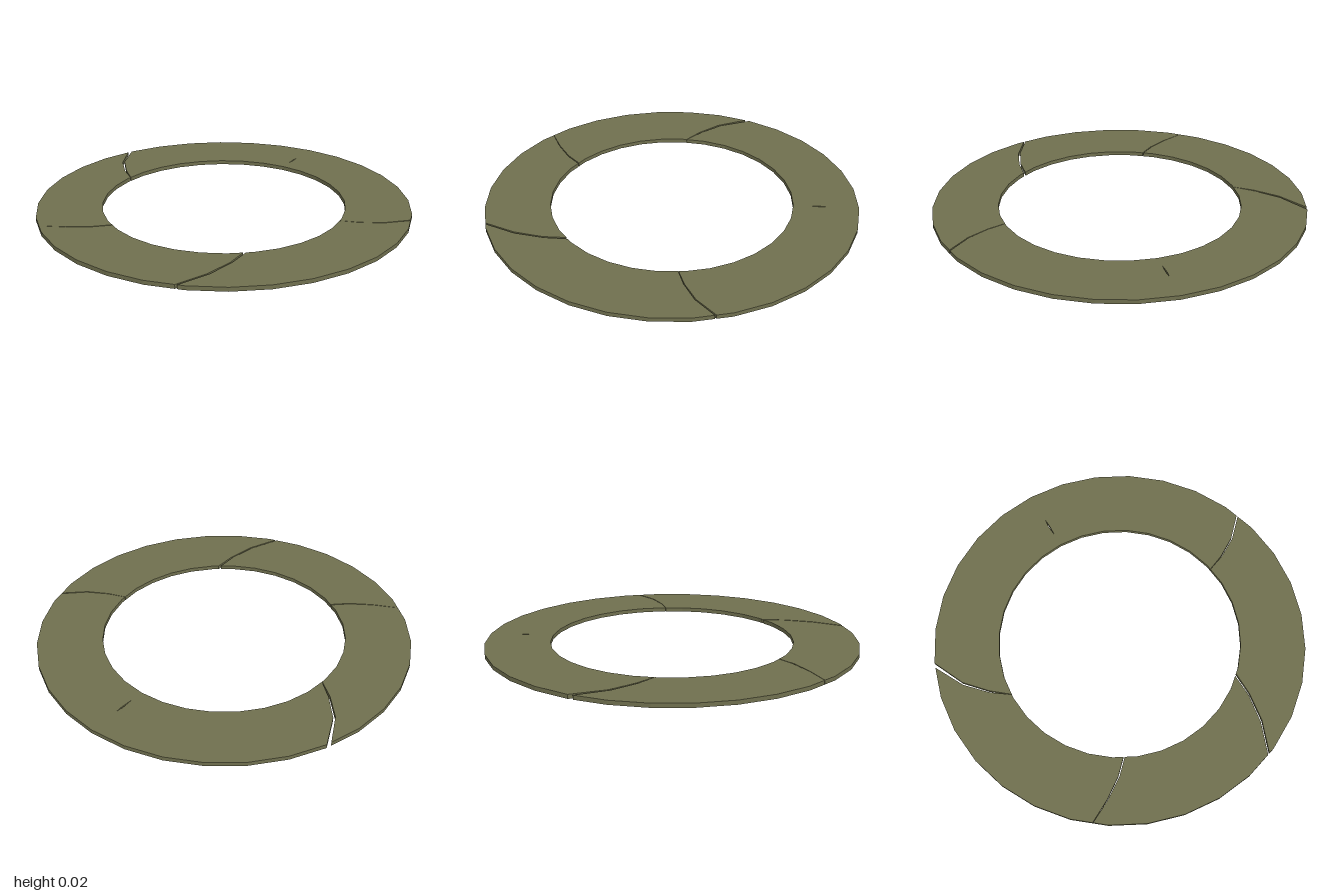
import * as THREE from 'three';

const SIDES = 32, STEP = (Math.PI * 2) / SIDES;
const OUTER = 1, INNER = 0.652, THICKNESS = 0.022;

// radius of the many-sided rim at a given angle
function rim(a, R) {
  const k = a - Math.floor(a / STEP) * STEP - STEP / 2;
  return (R * Math.cos(STEP / 2)) / Math.cos(k);
}

const polar = (r, a) => new THREE.Vector2(r * Math.cos(a), r * Math.sin(a));

// curved cracks from inner to outer rim: angles and gap widths at four radii
const RADII = [INNER, 0.75, 0.87, OUTER];
const cracks = [
  { angles: [0.153, 0.181, 0.230, 0.306], gaps: [0.002, 0.004, 0.006, 0.008] },
  { angles: [3.111, 3.016, 2.905, 2.761], gaps: [0.002, 0.010, 0.014, 0.026] },
  { angles: [4.215, 4.174, 4.110, 4.043], gaps: [0.006, 0.006, 0.004, 0.002] },
  { angles: [5.432, 5.324, 5.198, 5.063], gaps: [0.014, 0.010, 0.012, 0.010] },
];

// one lip of a crack, listed from inner to outer rim
function lip(crack, side, turn = 0) {
  return RADII.map((r, i) => {
    const a = crack.angles[i] + turn + (side * crack.gaps[i]) / (2 * r);
    return { a, r: i === 0 || i === 3 ? rim(a, r) : r };
  });
}

// rim corners strictly between two angles
function corners(from, to, R) {
  const pts = [];
  for (let k = Math.ceil(from / STEP + 0.02); k * STEP < to - 0.004; k++) pts.push({ a: k * STEP, r: R });
  return pts;
}

export function createModel() {
  const group = new THREE.Group();
  group.name = 'crackedRing';
  const material = new THREE.MeshStandardMaterial({ color: 0x70704f, flatShading: true });

  cracks.forEach((crack, i) => {
    const last = i === cracks.length - 1;
    const start = lip(crack, 1);
    const end = lip(cracks[(i + 1) % cracks.length], -1, last ? Math.PI * 2 : 0);
    const outline = [
      ...start,
      ...corners(start[3].a, end[3].a, OUTER),
      ...end.reverse(),
      ...corners(start[0].a, end[3].a, INNER).reverse(),
    ];
    const shape = new THREE.Shape(outline.map((p) => polar(p.r, p.a)));

    // short slit in the back piece
    if (i === 0) {
      shape.holes.push(new THREE.Path([
        new THREE.Vector2(0, 0.72), new THREE.Vector2(-0.004, 0.79),
        new THREE.Vector2(0, 0.83), new THREE.Vector2(0.003, 0.79),
      ]));
    }

    const geometry = new THREE.ExtrudeGeometry(shape, { depth: THICKNESS, bevelEnabled: false });
    geometry.rotateX(-Math.PI / 2);
    const piece = new THREE.Mesh(geometry, material);
    piece.name = ['backPiece', 'leftPiece', 'frontPiece', 'rightPiece'][i];
    group.add(piece);
  });

  return group;
}
